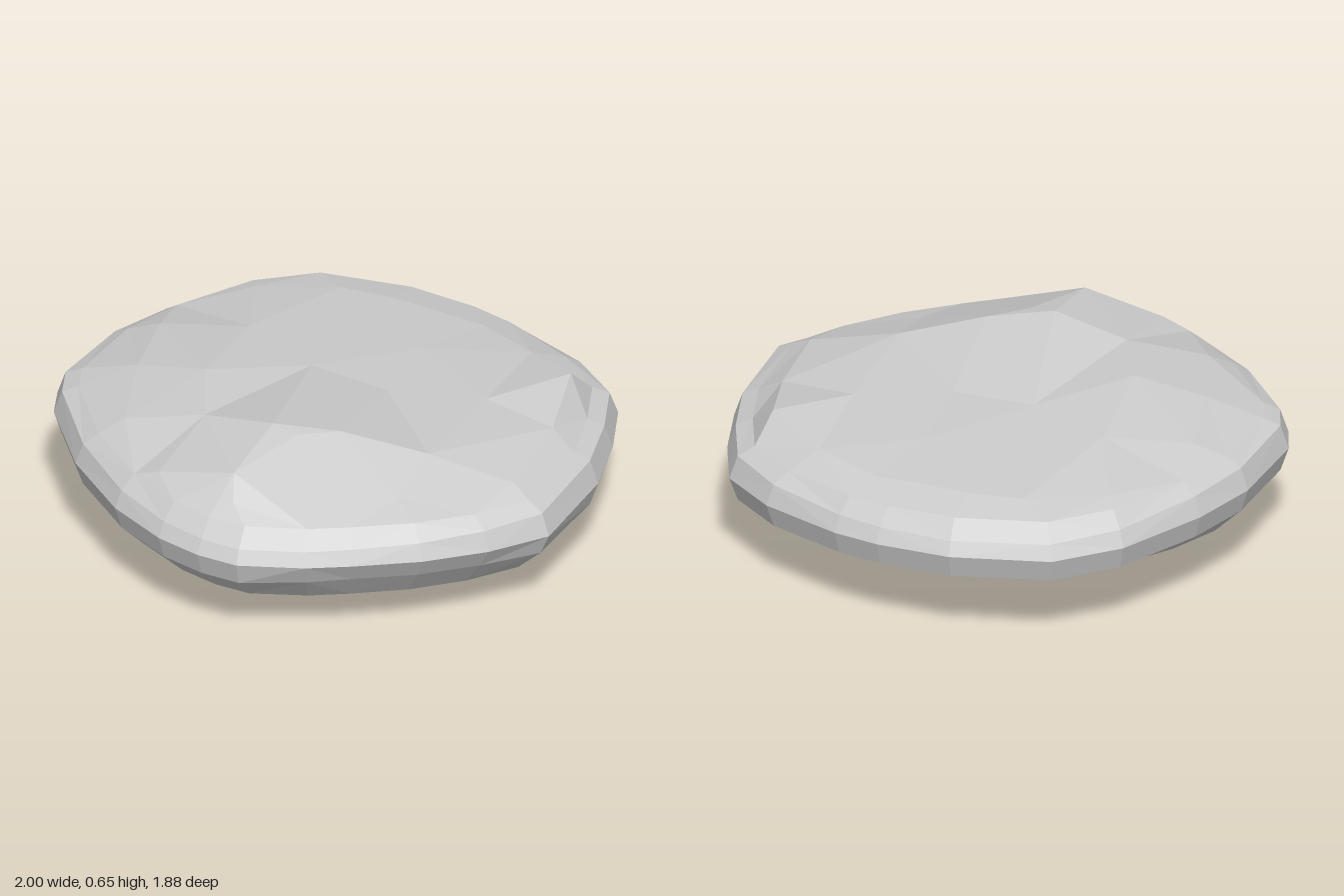
import * as THREE from 'three';

// Plan outline of the stone as [x, z], running left, back, right, front
const OUTLINE = [
  [-1, 0], [-0.9, -0.33], [-0.76, -0.55], [-0.52, -0.81], [-0.28, -0.94], [0.09, -0.94],
  [0.36, -0.87], [0.52, -0.8], [0.79, -0.62], [0.95, -0.43], [0.99, -0.2], [1, 0.05],
  [0.92, 0.44], [0.74, 0.6], [0.53, 0.73], [0.3, 0.83], [0.14, 0.89], [-0.1, 0.94],
  [-0.25, 0.91], [-0.41, 0.84], [-0.61, 0.69], [-0.82, 0.44], [-0.98, 0.13],
];

// Corners of the upper facets as [x, height, z]
const UPPER = [
  [-0.1, 0.65, 0.42], [0, 0.635, 0.45], [-0.17, 0.6, 0.7], [-0.15, 0.53, 0.79], [0.14, 0.63, 0.38],
  [0.45, 0.56, 0.34], [0.4, 0.505, 0.57], [0.77, 0.5, 0.36], [0.82, 0.52, 0], [0.81, 0.565, -0.3],
  [0.55, 0.54, -0.1], [0.2, 0.55, -0.05], [0.25, 0.535, -0.38], [-0.1, 0.56, -0.13], [-0.15, 0.51, -0.74],
  [0.05, 0.51, -0.72], [0.4, 0.505, -0.63], [0.62, 0.515, -0.48], [-0.45, 0.51, -0.67], [-0.44, 0.605, 0.06],
  [-0.37, 0.595, 0.34], [-0.7, 0.56, 0.02], [-0.66, 0.545, 0.36], [-0.46, 0.53, 0.65], [-0.7, 0.54, -0.3],
  [-0.38, 0.56, -0.33],
];

// Corners of the underside facets, falling to the keel
const LOWER = [
  [-0.04, 0, 0.36], [-0.06, 0.004, 0.42], [0.38, 0.05, 0.17], [0.72, 0.125, 0.05], [-0.25, 0.08, 0.27],
  [-0.6, 0.145, 0.15], [0, 0.105, -0.06], [0.32, 0.13, -0.28], [0, 0.16, -0.4], [0.15, 0.17, -0.54],
  [-0.4, 0.175, -0.28], [0.58, 0.16, -0.38],
];

const rimY = (x) => 0.365 - 0.02 * x;

// How far the front left corner is cut straight from the rim to the keel
const bevel = (x, z) => THREE.MathUtils.clamp(5 * Math.min(x, z - 0.35), 0, 1);

// A ring of corners: the outline with scale and height given by rules
const ring = (scale, height) => OUTLINE.map(([x, z]) => {
  const s = scale(x, z);
  return new THREE.Vector3(x * s, height(x, z), z * s);
});
const vectors = (list) => list.map((p) => new THREE.Vector3(...p));

// Centre and squared radius of the circle through three points in plan
function circle(a, b, c) {
  const bx = b.x - a.x, bz = b.z - a.z, cx = c.x - a.x, cz = c.z - a.z;
  const area = bx * cz - bz * cx;
  const bb = bx * bx + bz * bz, cc = cx * cx + cz * cz;
  const ux = (cz * bb - bz * cc) / (2 * area), uz = (bx * cc - cx * bb) / (2 * area);
  return { area, x: a.x + ux, z: a.z + uz, r2: ux * ux + uz * uz };
}

// Facets over scattered corners: keep triangles whose circle holds no other corner
function addFacets(out, pts, facesUp) {
  for (let i = 0; i < pts.length; i++) {
    for (let j = i + 1; j < pts.length; j++) {
      for (let k = j + 1; k < pts.length; k++) {
        const a = pts[i], b = pts[j], c = pts[k];
        const o = circle(a, b, c);
        if (Math.abs(o.area) < 1e-9) continue;
        if (pts.some((p) => p !== a && p !== b && p !== c
          && (p.x - o.x) ** 2 + (p.z - o.z) ** 2 < o.r2 - 1e-9)) continue;
        if ((o.area < 0) === facesUp) out.push(a, b, c);
        else out.push(a, c, b);
      }
    }
  }
}

// Band of facets between a lower and an upper ring
function addBand(out, low, high) {
  for (let j = 0; j < low.length; j++) {
    const k = (j + 1) % low.length;
    if (j % 2) out.push(low[j], high[j], high[k], low[j], high[k], low[k]);
    else out.push(low[j], high[j], low[k], low[k], high[j], high[k]);
  }
}

function stoneGeometry() {
  const under = ring(() => 0.86, (x, z) => 0.172 - 0.012 * x - 0.1 * Math.min(z + 0.3, 0));
  const lowEdge = ring((x, z) => 0.97 - 0.02 * bevel(x, z), (x, z) => rimY(x) - 0.09 + 0.01 * bevel(x, z));
  const edge = ring(() => 1, (x) => rimY(x));
  const highEdge = ring(() => 0.97, (x) => rimY(x) + 0.05 + 0.04 * x * x);
  const shoulder = ring(() => 0.91, (x) => rimY(x) + 0.115);

  const corners = [];
  addFacets(corners, [...under, ...vectors(LOWER)], false);
  addBand(corners, under, lowEdge);
  addBand(corners, lowEdge, edge);
  addBand(corners, edge, highEdge);
  addBand(corners, highEdge, shoulder);
  addFacets(corners, [...shoulder, ...vectors(UPPER)], true);

  const geometry = new THREE.BufferGeometry().setFromPoints(corners);
  geometry.computeVertexNormals();
  return geometry;
}

export function createModel() {
  const group = new THREE.Group();
  group.name = 'flatRock';
  const material = new THREE.MeshStandardMaterial({ color: 0xcccccc, flatShading: true });
  const stone = new THREE.Mesh(stoneGeometry(), material);
  stone.name = 'stone';
  group.add(stone);
  return group;
}
